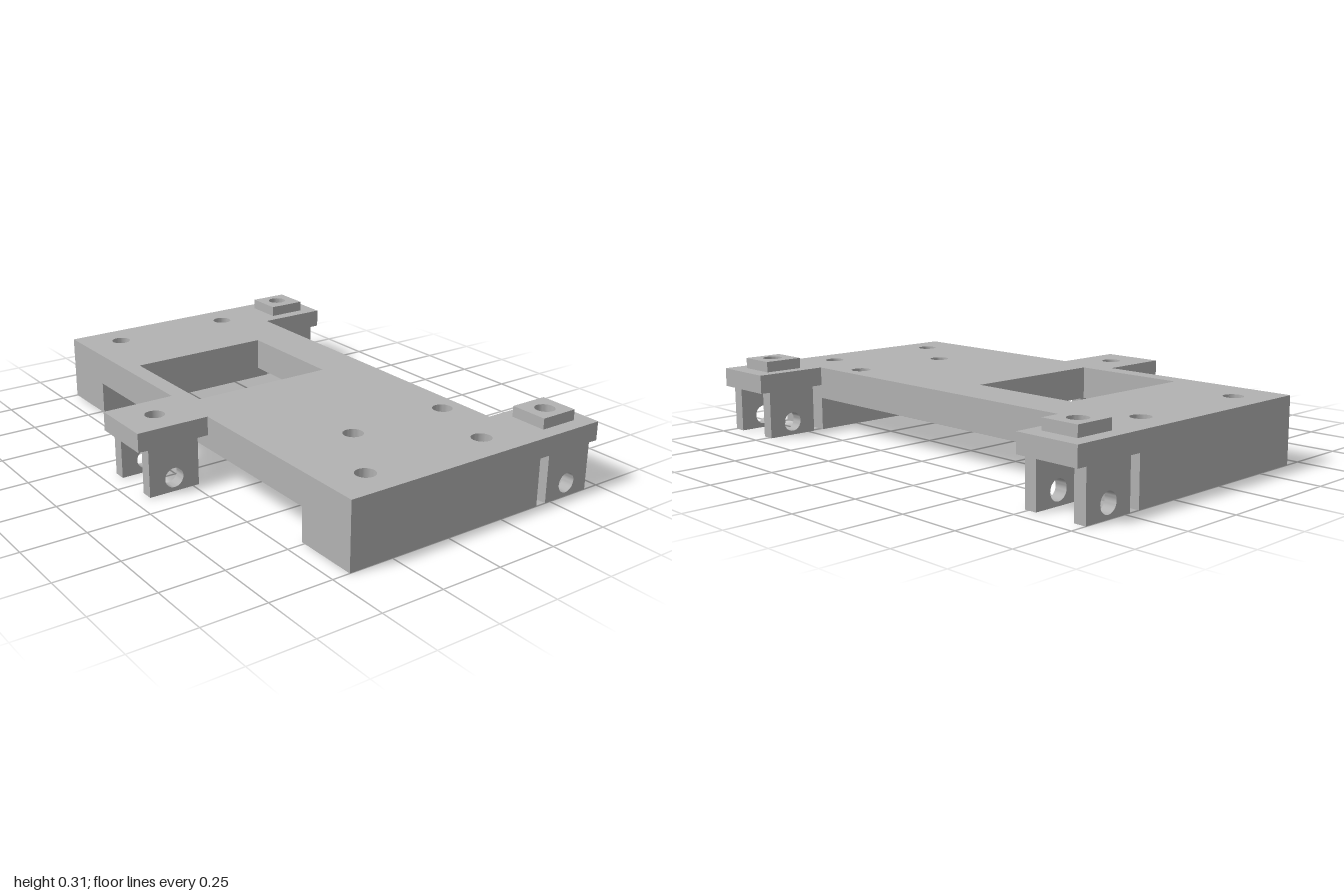
import * as THREE from 'three';
import { toCreasedNormals } from 'three/addons/utils/BufferGeometryUtils.js';

const grey = new THREE.MeshStandardMaterial({ color: 0xb2b2b2 });
grey.name = 'plain grey';

const HOLE = 0.039;

function rectPath(Type, a0, a1, b0, b1) {
  const p = new Type();
  p.moveTo(a0, b0);
  p.lineTo(a1, b0);
  p.lineTo(a1, b1);
  p.lineTo(a0, b1);
  p.closePath();
  return p;
}

function roundHole(a, b) {
  const p = new THREE.Path();
  p.absarc(a, b, HOLE, 0, Math.PI * 2, true);
  return p;
}

function extrude(shape, depth) {
  return new THREE.ExtrudeGeometry(shape, { depth, bevelEnabled: false, curveSegments: 16 });
}

function finish(name, geometry) {
  const mesh = new THREE.Mesh(toCreasedNormals(geometry, 0.6), grey);
  mesh.name = name;
  return mesh;
}

// Horizontal block with vertical round holes [x, z] and rectangular cutouts [x0, x1, z0, z1]
function slab(name, [x0, x1], [z0, z1], [y0, y1], holes = [], cutouts = []) {
  const shape = rectPath(THREE.Shape, x0, x1, -z1, -z0);
  for (const [x, z] of holes) shape.holes.push(roundHole(x, -z));
  for (const [a, b, c, d] of cutouts) shape.holes.push(rectPath(THREE.Path, a, b, -d, -c));
  return finish(name, extrude(shape, y1 - y0).rotateX(-Math.PI / 2).translate(0, y0, 0));
}

// Upright lug with a cross hole for a pin
function lug(name, x0, x1, zMid) {
  const shape = rectPath(THREE.Shape, zMid - 0.105, zMid + 0.105, 0, 0.19);
  shape.holes.push(roundHole(zMid, 0.055));
  return finish(name, extrude(shape, x1 - x0).rotateY(-Math.PI / 2).translate(x1, 0, 0));
}

// Overhanging tab with a pair of lugs below
function clevis(name, xMid, zMid, z0, z1) {
  const g = new THREE.Group();
  g.name = name;
  g.add(slab('tab', [xMid - 0.1325, xMid + 0.1325], [z0, z1], [0.19, 0.265], [[xMid, zMid]]));
  g.add(lug('lugRight', xMid - 0.1325, xMid - 0.0825, zMid));
  g.add(lug('lugLeft', xMid + 0.0825, xMid + 0.1325, zMid));
  return g;
}

export function createModel() {
  const model = new THREE.Group();
  model.name = 'mountingBracket';
  const depth = [-0.43, 0.43];
  const railX = 0.8675;
  const railHoles = (s) => [[s * 0.865, -0.265], [s * 0.865, 0.265]];

  // Deck with the large window
  model.add(slab('deck', [-1, 1], depth, [0.135, 0.265],
    [...railHoles(1), ...railHoles(-1), [0.57, -0.345], [0.57, 0.085]],
    [[-0.52, -0.04, -0.235, 0.36]]));

  // Side rails; the right one has a shallow pocket underneath
  model.add(slab('leftRail', [0.735, 1], depth, [0, 0.135], railHoles(1)));
  model.add(slab('rightRail', [-1, -0.735], depth, [0.03, 0.135], railHoles(-1)));
  model.add(slab('rightRailPocketLayer', [-1, -0.735], depth, [0, 0.03], railHoles(-1),
    [[-0.92, -0.81, -0.215, -0.055]]));

  // Rear clevises with raised pads
  for (const s of [-1, 1]) {
    const side = s > 0 ? 'Left' : 'Right';
    const x = s * railX;
    model.add(clevis('rearClevis' + side, x, -0.58, -0.725, -0.43));
    model.add(slab('pad' + side, [s * 0.8625 - 0.0775, s * 0.8625 + 0.0775], [-0.66, -0.5],
      [0.265, 0.308], [[x, -0.58]]));
  }

  // Front clevis
  model.add(clevis('frontClevis', 0, 0.58, 0.43, 0.725));
  return model;
}
